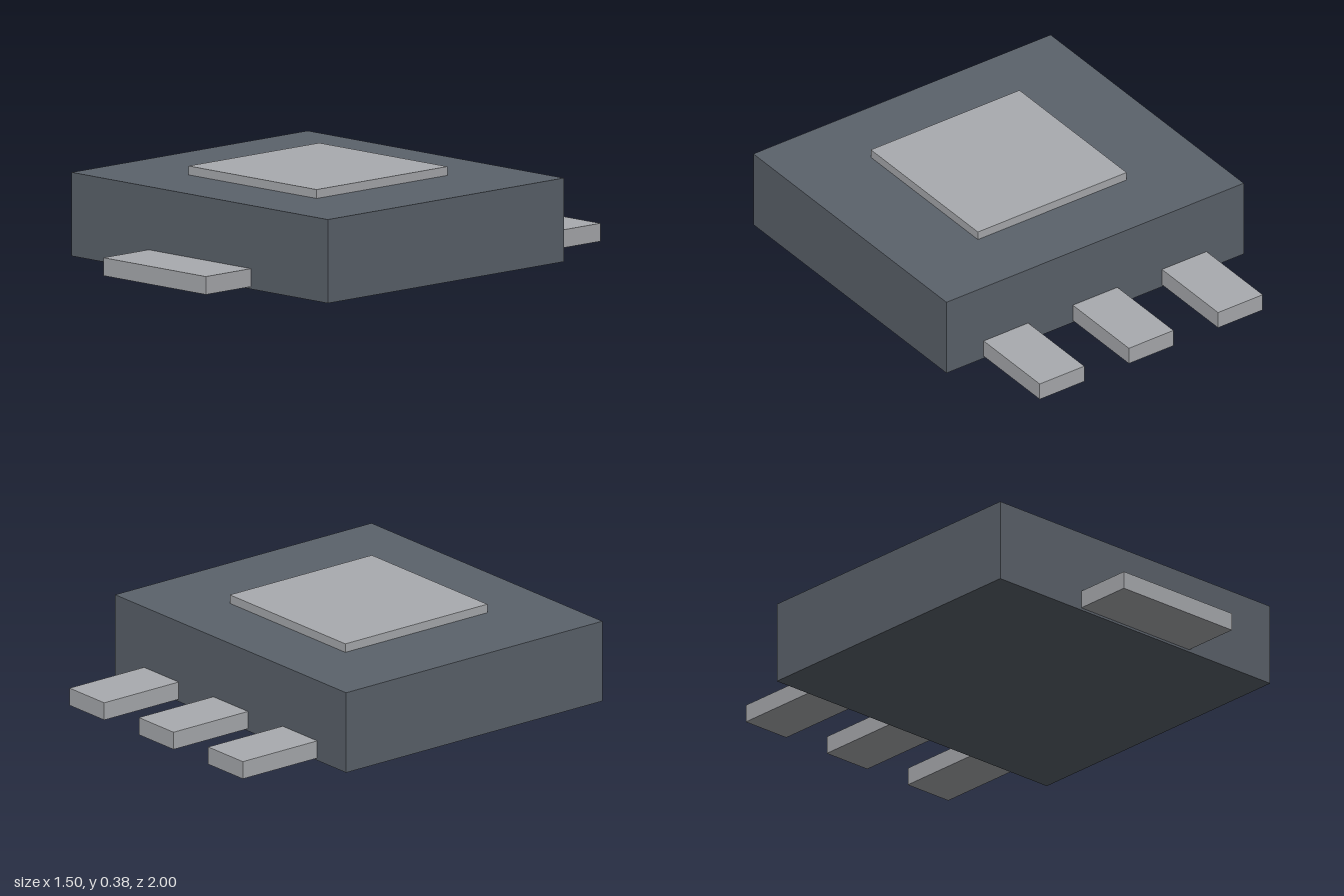
import * as THREE from 'three';

export function createModel() {
  const model = new THREE.Group();
  model.name = 'chipPackage';

  const casing = new THREE.MeshStandardMaterial({ color: 0x5b626b });
  casing.name = 'dark grey casing';
  const metal = new THREE.MeshStandardMaterial({ color: 0xa9abaf });
  metal.name = 'light grey metal';

  // Box given by its [min, max] extent along each axis
  function block(name, material, [x0, x1], [y0, y1], [z0, z1]) {
    const mesh = new THREE.Mesh(new THREE.BoxGeometry(x1 - x0, y1 - y0, z1 - z0), material);
    mesh.position.set((x0 + x1) / 2, (y0 + y1) / 2, (z0 + z1) / 2);
    mesh.name = name;
    model.add(mesh);
  }

  const back = -0.608, front = 0.742, top = 0.348;
  const leadHeight = [0.01, 0.085];

  // Casing and the raised pad on top
  block('body', casing, [-0.75, 0.75], [0, top], [back, front]);
  block('topPad', metal, [-0.375, 0.375], [top, 0.385], [-0.308, 0.44]);

  // Wide tab at the front
  block('frontTab', metal, [-0.3, 0.3], leadHeight, [front, 1]);

  // Three leads at the back
  ['rightLead', 'middleLead', 'leftLead'].forEach((name, i) => {
    const x = (i - 1) * 0.45;
    block(name, metal, [x - 0.1125, x + 0.1125], leadHeight, [-1, back]);
  });

  return model;
}
